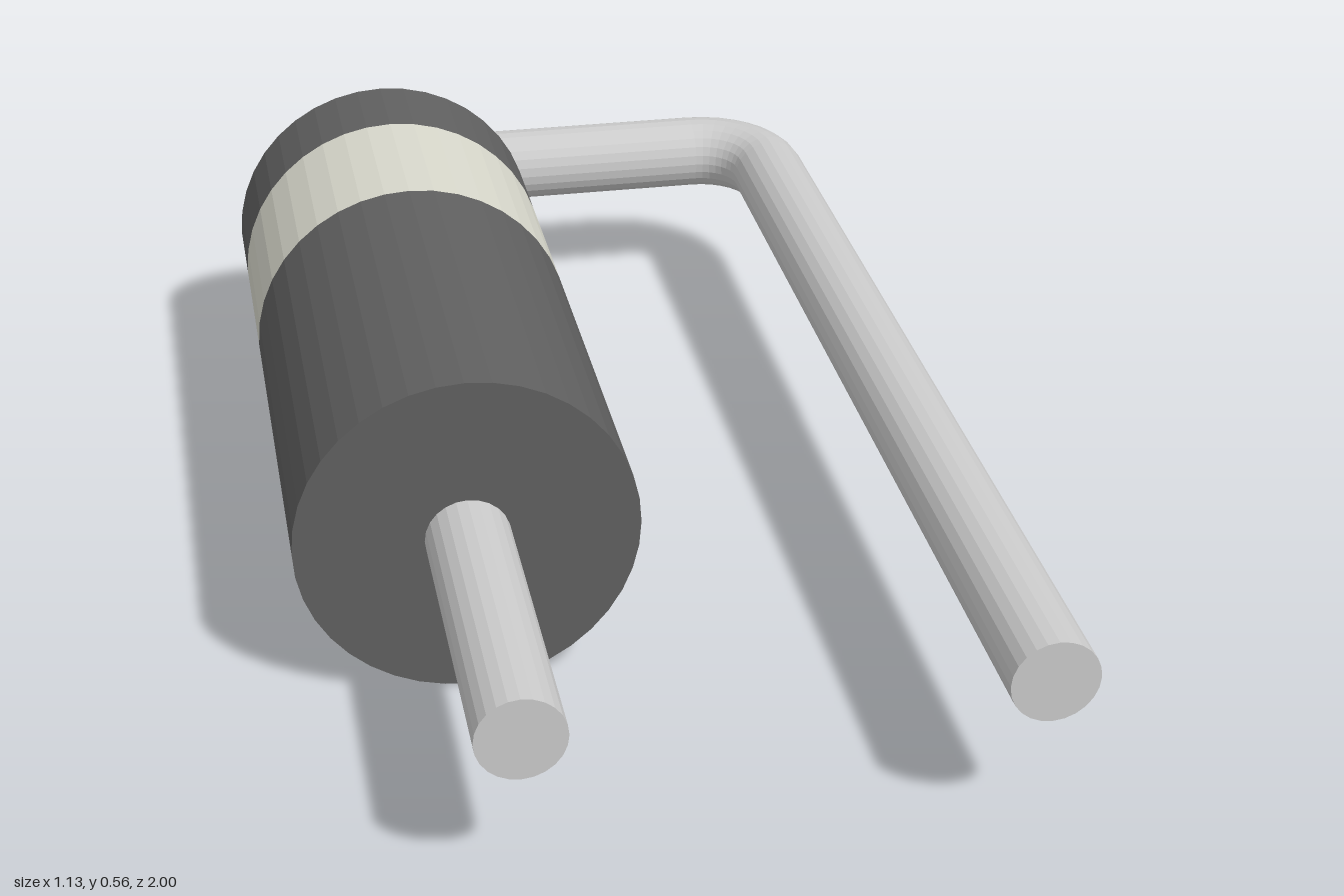
import * as THREE from 'three';

const AXIS_Y = 0.28;
const BODY_X = -0.29;
const LEG_X = 0.495;
const WIRE_R = 0.069;
const BEND_R = 0.135;
const BACK_Z = -0.931;
const BODY_R = 0.278;

const material = (color) => new THREE.MeshStandardMaterial({ color, flatShading: true });

export function createModel() {
  const model = new THREE.Group();
  const dark = material(0x606060);
  const light = material(0xd8d8cc);
  const metal = material(0xccccc8);

  const add = (name, geometry, mat, x, z) => {
    const mesh = new THREE.Mesh(geometry, mat);
    mesh.name = name;
    mesh.position.set(x, AXIS_Y, z);
    model.add(mesh);
  };

  // Cylinder lying along z between two depths
  const rodZ = (name, radius, sides, x, z0, z1, mat) => {
    const geometry = new THREE.CylinderGeometry(radius, radius, z1 - z0, sides).rotateX(Math.PI / 2);
    add(name, geometry, mat, x, (z0 + z1) / 2);
  };

  // Body in three sections
  rodZ('bodyRear', BODY_R, 40, BODY_X, -0.71, -0.54, dark);
  rodZ('polarityBand', BODY_R, 40, BODY_X, -0.54, -0.245, light);
  rodZ('bodyFront', BODY_R, 40, BODY_X, -0.245, 0.46, dark);

  // Straight wires
  const bendZ = BACK_Z + BEND_R;
  rodZ('frontLead', WIRE_R, 24, BODY_X, 0.45, 1, metal);
  rodZ('rearLead', WIRE_R, 24, BODY_X, bendZ, -0.7, metal);
  rodZ('returnLead', WIRE_R, 24, LEG_X, bendZ, 1, metal);

  const span = LEG_X - BODY_X - 2 * BEND_R;
  const cross = new THREE.CylinderGeometry(WIRE_R, WIRE_R, span, 24).rotateZ(Math.PI / 2);
  add('crossWire', cross, metal, (LEG_X + BODY_X) / 2, BACK_Z);

  // Quarter-turn bends joining the wires
  const bend = (turn) =>
    new THREE.TorusGeometry(BEND_R, WIRE_R, 24, 8, Math.PI / 2).rotateZ(turn).rotateX(-Math.PI / 2);
  add('leftBend', bend(0), metal, LEG_X - BEND_R, bendZ);
  add('rightBend', bend(Math.PI / 2), metal, BODY_X + BEND_R, bendZ);

  return model;
}
